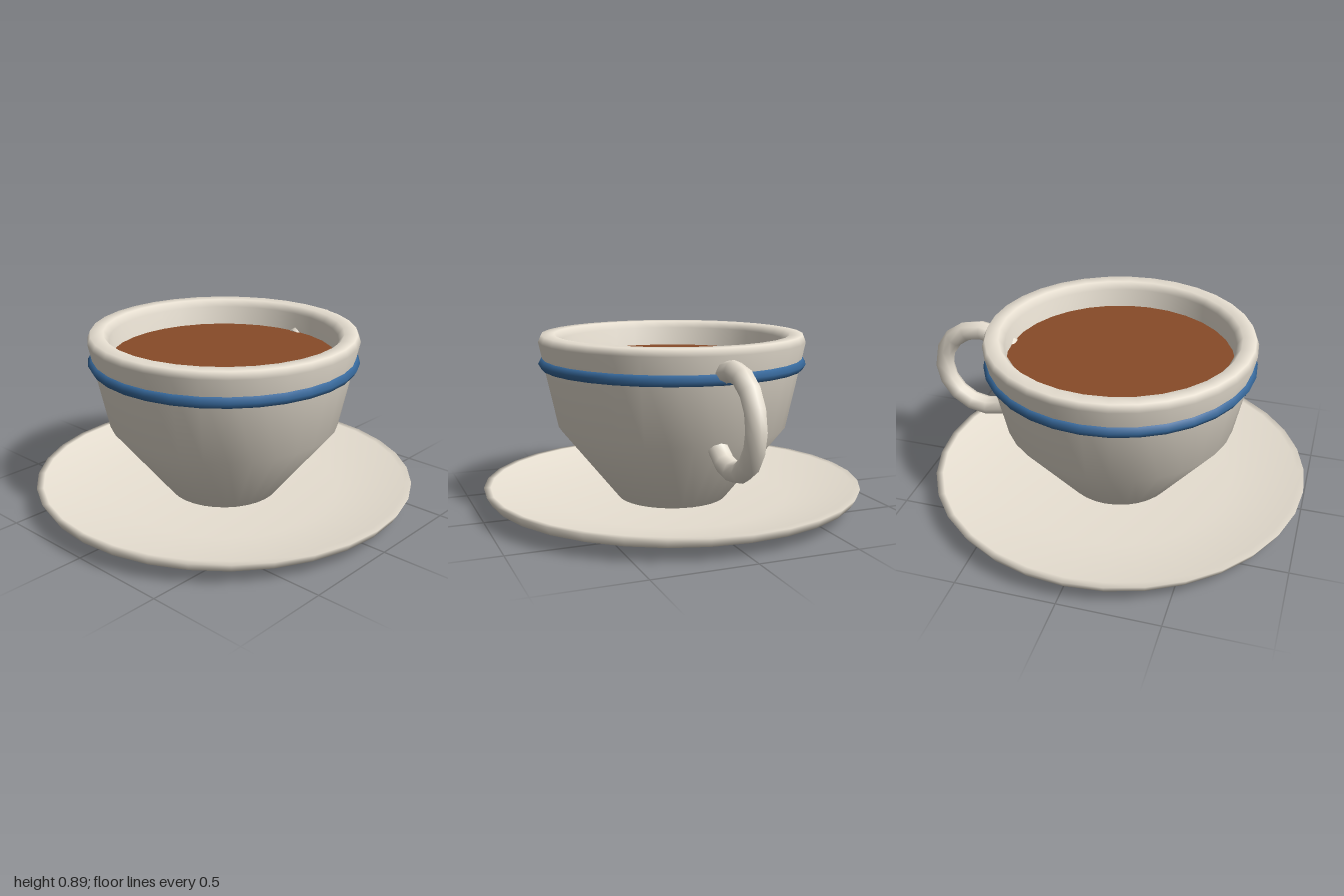
import * as THREE from 'three';

const AXIS_X = -0.025; // cup and saucer axis; the handle balances the width

const paint = (color) => new THREE.MeshStandardMaterial({ color });

function part(parent, name, geometry, material, x = 0, y = 0) {
  const mesh = new THREE.Mesh(geometry, material);
  mesh.name = name;
  mesh.position.set(x, y, 0);
  parent.add(mesh);
  return mesh;
}

// Profile runs from the bottom centre, up the outside and back to the axis
const lathe = (points) =>
  new THREE.LatheGeometry(points.map(([r, y]) => new THREE.Vector2(r, y)), 32);

export function createModel() {
  const model = new THREE.Group();
  model.name = 'cupAndSaucer';
  const china = paint(0xe9e1d3);
  const blue = paint(0x37699c);
  const brown = paint(0x874b28);

  // Shallow dish with a flat well
  part(model, 'saucer', lathe([
    [0, 0], [0.6, 0], [0.95, 0.07], [0.975, 0.115],
    [0.94, 0.115], [0.6, 0.04], [0, 0.04],
  ]), china, AXIS_X);

  // Flared cup with a thick, rounded lip and hollow inside
  part(model, 'cup', lathe([
    [0, 0.035], [0.28, 0.035], [0.587, 0.418], [0.68, 0.855], [0.665, 0.89],
    [0.6, 0.89], [0.572, 0.855], [0.57, 0.74], [0.5, 0.44], [0.24, 0.12], [0, 0.12],
  ]), china, AXIS_X);

  // Drink surface
  part(model, 'coffee', new THREE.CylinderGeometry(0.577, 0.572, 0.02, 32), brown, AXIS_X, 0.748);

  // Painted ring under the lip
  const band = new THREE.TorusGeometry(0.652, 0.03, 6, 32).rotateX(Math.PI / 2);
  part(model, 'band', band, blue, AXIS_X, 0.745);

  // Three-quarter ring handle, open towards the cup, with capped ends
  const handle = new THREE.Group();
  handle.name = 'handle';
  handle.position.set(0.722, 0.568, 0);
  model.add(handle);
  const R = 0.228, r = 0.05, end = Math.PI * 0.75;
  part(handle, 'handleRing',
    new THREE.TorusGeometry(R, r, 8, 12, 2 * end).rotateZ(-end), china);
  for (const side of [-1, 1]) {
    const a = side * end;
    const cap = new THREE.CircleGeometry(r, 8).rotateX(-side * Math.PI / 2).rotateZ(a);
    part(handle, 'handleEnd', cap, china, R * Math.cos(a), R * Math.sin(a));
  }
  return model;
}
